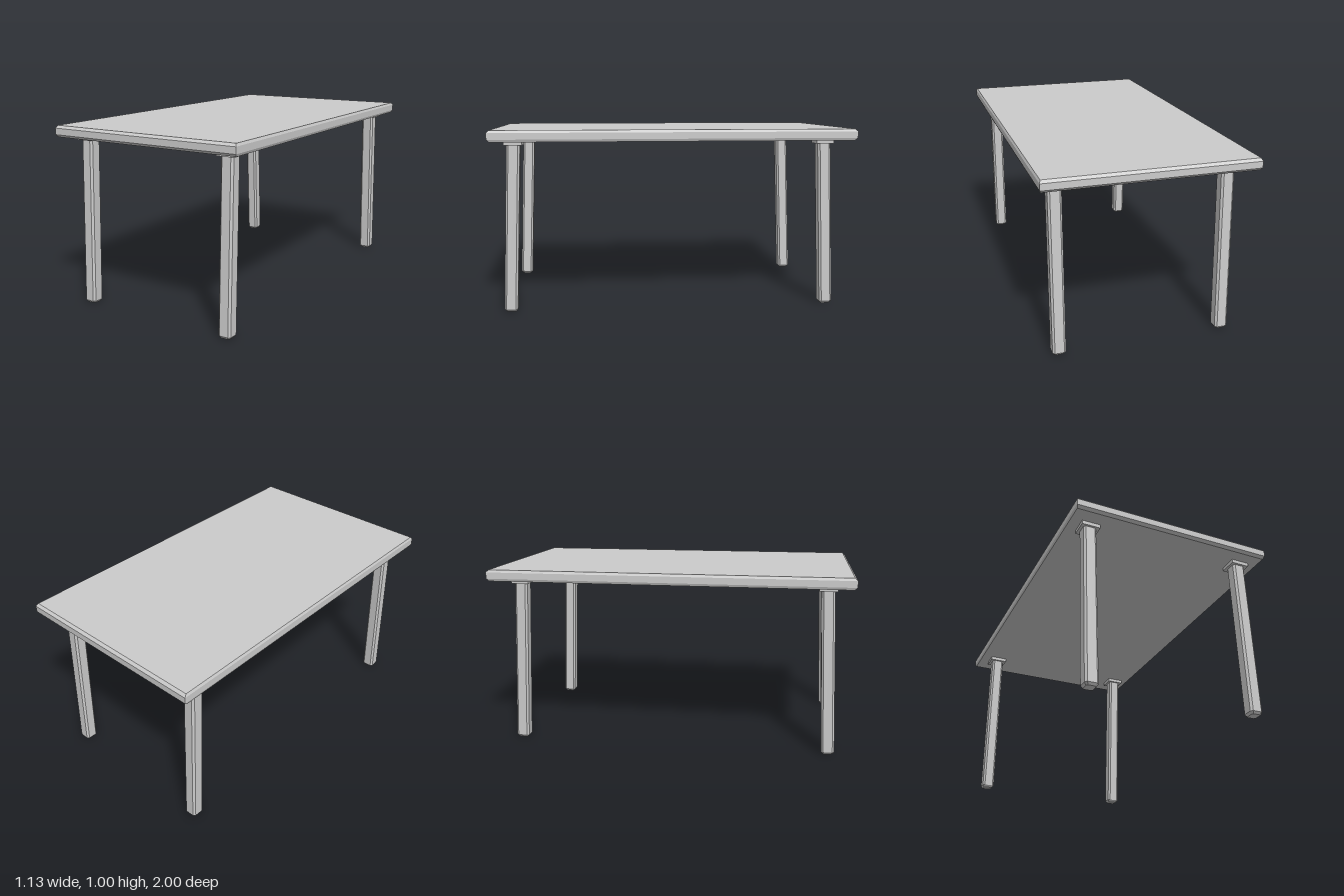
import * as THREE from 'three';

const material = new THREE.MeshStandardMaterial({ color: 0xcccccc, flatShading: true });

// Solid skinned over rings of [x, y, z] points, capped at both ends
function loft(rings) {
  const n = rings[0].length, index = [];
  for (let r = 0; r < rings.length - 1; r++) {
    for (let i = 0; i < n; i++) {
      const a = r * n + i, b = r * n + (i + 1) % n;
      index.push(a, a + n, b, b, a + n, b + n);
    }
  }
  const top = (rings.length - 1) * n;
  for (let i = 1; i < n - 1; i++) {
    index.push(0, i, i + 1, top, top + i + 1, top + i);
  }
  const geometry = new THREE.BufferGeometry();
  geometry.setAttribute('position', new THREE.Float32BufferAttribute(rings.flat(2), 3));
  geometry.setIndex(index);
  const flat = geometry.toNonIndexed();
  flat.computeVertexNormals();
  return flat;
}

// Rectangle with half sizes hx, hz; corners cut by c when c > 0
function ring(y, hx, hz, c = 0) {
  const corners = [[1, 1], [-1, 1], [-1, -1], [1, -1]];
  return corners.flatMap(([sx, sz]) => {
    if (!c) return [[sx * hx, y, sz * hz]];
    const cuts = [[sx * hx, y, sz * (hz - c)], [sx * (hx - c), y, sz * hz]];
    return sx * sz > 0 ? cuts : cuts.reverse();
  });
}

function add(parent, name, geometry) {
  const mesh = new THREE.Mesh(geometry, material);
  mesh.name = name;
  parent.add(mesh);
  return mesh;
}

export function createModel() {
  const table = new THREE.Group();
  table.name = 'table';

  // Bevelled slab
  add(table, 'tableTop', loft([
    ring(0.937, 0.559, 0.986), ring(0.951, 0.565, 1),
    ring(0.986, 0.565, 1), ring(1, 0.559, 0.986),
  ]));

  // Chamfered square leg with a bevelled foot, pivoting at its top
  const legGeometry = loft([
    ring(-0.921, 0.026, 0.026, 0.008), ring(-0.908, 0.036, 0.036, 0.011),
    ring(0, 0.036, 0.036, 0.011),
  ]);
  const plateGeometry = new THREE.BoxGeometry(0.103, 0.022, 0.097);

  // Four legs splayed toward the ends, each under its mounting plate
  const legs = [
    ['frontLeft', 0.454, 0.871], ['frontRight', -0.448, 0.859],
    ['backLeft', 0.464, -0.833], ['backRight', -0.448, -0.833],
  ];
  for (const [name, x, z] of legs) {
    const leg = add(table, name + 'Leg', legGeometry);
    leg.position.set(x, 0.921, z);
    leg.rotation.x = -Math.sign(z) * 0.04;
    add(table, name + 'Plate', plateGeometry).position.set(x, 0.928, z);
  }
  return table;
}
